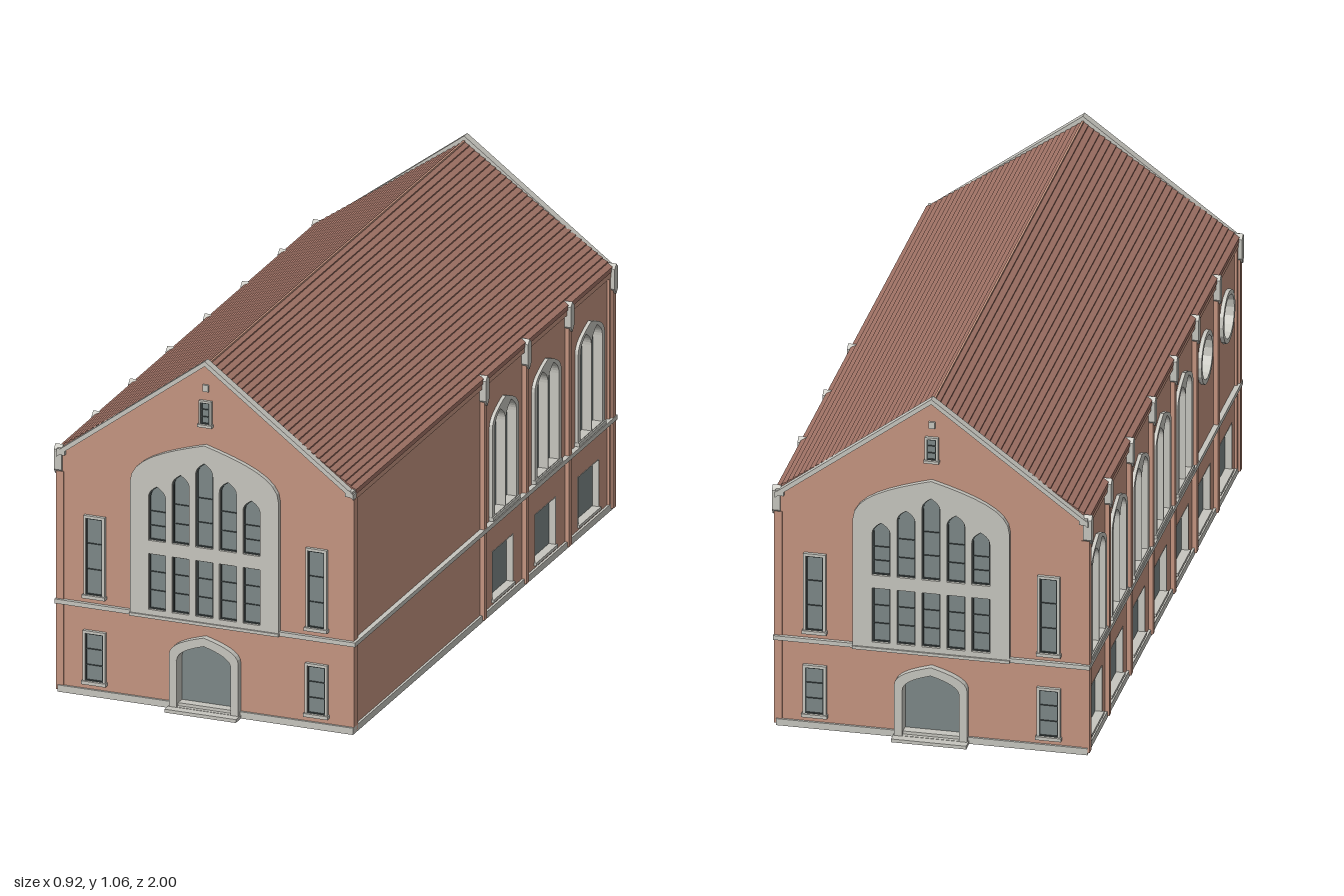
import * as THREE from 'three';

const mat = (name, color) => Object.assign(new THREE.MeshStandardMaterial({ color }), { name });

export function createModel() {
  const brick = mat('brick', 0xc49480);
  const stone = mat('stone', 0xc6c5be);
  const glass = mat('glass', 0x7c8787);
  const iron = mat('darkFrame', 0x3f4747);
  const tile = mat('roofTile', 0xa07265);

  const model = new THREE.Group();
  model.name = 'hall';

  const add = (g, name, geo, m) => {
    const mesh = new THREE.Mesh(geo, m);
    mesh.name = name;
    g.add(mesh);
    return mesh;
  };
  // box given by its limits
  const box = (g, name, m, x0, x1, y0, y1, z0, z1) =>
    add(g, name, new THREE.BoxGeometry(x1 - x0, y1 - y0, z1 - z0), m)
      .position.set((x0 + x1) / 2, (y0 + y1) / 2, (z0 + z1) / 2);
  // shape extruded between two depths
  const slab = (g, name, m, shape, z0, z1) => {
    const geo = new THREE.ExtrudeGeometry(shape, { depth: z1 - z0, bevelEnabled: false, curveSegments: 8 });
    add(g, name, geo.translate(0, 0, z0), m);
  };
  const poly = pts => new THREE.Shape(pts.map(p => new THREE.Vector2(p[0], p[1])));
  // opening with half width w; pointed arch above the spring line when top > spring
  const arch = (x, w, y0, spring, top = spring) => {
    const s = new THREE.Shape(), h = top - spring;
    s.moveTo(x - w, y0).lineTo(x + w, y0).lineTo(x + w, spring);
    if (h > 0) {
      s.bezierCurveTo(x + w, spring + 0.5 * h, x + 0.53 * w, spring + 0.76 * h, x, top);
      s.bezierCurveTo(x - 0.53 * w, spring + 0.76 * h, x - w, spring + 0.5 * h, x - w, spring);
    } else s.lineTo(x - w, spring);
    return s;
  };
  const ring = (outer, ...holes) => { outer.holes.push(...holes); return outer; };
  const pane = (g, shape, z) => slab(g, 'windowGlass', glass, shape, z, z + 0.003);

  // glass pane with dark frame and two transoms
  const glazing = (g, x, w, y0, spring, top, z) => {
    const f = 0.0035;
    pane(g, arch(x, w, y0, spring, top), z);
    slab(g, 'windowFrame', iron,
      ring(arch(x, w, y0, spring, top), arch(x, w - f, y0 + f, spring - (top > spring ? 0 : f), top - f)), z + 0.003, z + 0.007);
    for (const t of [1 / 3, 2 / 3]) {
      const y = y0 + (spring - y0) * t;
      box(g, 'transom', iron, x - w, x + w, y - 0.0015, y + 0.0015, z + 0.003, z + 0.006);
    }
  };
  // rectangular window with stone surround and sill
  const framedWindow = (g, x, w, y0, y1, z, b = 0.007) => {
    slab(g, 'windowSurround', stone, ring(arch(x, w + b, y0 - b, y1 + b), arch(x, w, y0, y1)), z, z + 0.01);
    box(g, 'windowSill', stone, x - w - b - 0.003, x + w + b + 0.003, y0 - b - 0.003, y0, z, z + 0.015);
    glazing(g, x, w, y0, y1, y1, z);
  };

  // main body, plinth and string course
  slab(model, 'body', brick, poly([[-0.415, 0.006], [0.415, 0.006], [0.415, 0.715], [0, 1.02], [-0.415, 0.715]]), -0.93, 0.93);
  box(model, 'plinth', stone, -0.447, 0.447, 0, 0.02, -0.962, 0.962);
  for (const s of [-1, 1]) {
    box(model, 'sideStringCourse', stone, s * 0.447 - 0.008, s * 0.447 + 0.008, 0.265, 0.278, -0.966, 0.966);
    box(model, 'eavesCourse', brick, s * 0.442 - 0.006, s * 0.442 + 0.006, 0.7, 0.722, -0.945, 0.945);
  }

  // roof of overlapping tile courses
  const N = 28, half = [];
  for (let i = 0; i < N; i++) {
    const at = k => [0.45 * (1 - k / N), 0.724 + 0.312 * k / N];
    const [x, y] = at(i), [x2, y2] = at(i + 1);
    half.push([x, y + 0.002], [x, y + 0.006], [x2, y2 + 0.002]);
  }
  const mirrored = half.slice(0, -1).reverse().map(([x, y]) => [-x, y]);
  slab(model, 'roof', tile, poly([...half, ...mirrored, [-0.45, 0.716], [0, 1.02], [0.45, 0.716]]), -0.946, 0.946);
  box(model, 'ridge', brick, -0.003, 0.003, 1.03, 1.042, -0.946, 0.946);

  // gable front, used at both ends
  const facade = () => {
    const g = new THREE.Group();
    g.name = 'gableFront';
    const Z = 0.955;
    // the inner layer stays below the roof, the outer one rises to the coping
    for (const [z0, z1, top] of [[0.925, 0.945, 1.02], [0.945, Z, 1.046]])
      slab(g, 'gableWall', brick, ring(
        poly([[-0.447, 0.006], [0.447, 0.006], [0.447, 0.712], [0, top], [-0.447, 0.712]]),
        arch(0, 0.083, 0.01, 0.15, 0.205)), z0, z1);
    slab(g, 'gableCoping', stone, poly([[0.45, 0.705], [0.45, 0.721], [0, 1.056],
      [-0.45, 0.721], [-0.45, 0.705], [0, 1.041]]), 0.942, 0.967);
    for (const s of [-1, 1]) {
      box(g, 'kneeler', stone, s * 0.436 - 0.012, s * 0.436 + 0.012, 0.712, 0.73, 0.942, 0.966);
      box(g, 'stringCourse', stone, s * 0.333 - 0.113, s * 0.333 + 0.113, 0.265, 0.278, Z, 0.966);
      framedWindow(g, s * 0.336, 0.025, 0.304, 0.534, Z);
      framedWindow(g, s * 0.336, 0.027, 0.046, 0.189, Z);
    }
    // great window
    const panel = arch(0, 0.225, 0.268, 0.665, 0.804);
    for (let i = -2; i <= 2; i++) {
      const x = i * 0.0715, top = 0.75 - 0.045 * Math.abs(i);
      panel.holes.push(arch(x, 0.026, 0.497, top - 0.035, top), arch(x, 0.026, 0.29, 0.457));
      glazing(g, x, 0.026, 0.497, top - 0.035, top, Z);
      glazing(g, x, 0.026, 0.29, 0.457, 0.457, Z);
    }
    slab(g, 'greatWindowStone', stone, panel, Z, 0.97);
    box(g, 'greatWindowSill', stone, -0.226, 0.226, 0.265, 0.274, Z, 0.975);
    // attic window and stone block above
    framedWindow(g, 0, 0.014, 0.866, 0.931, Z, 0.005);
    box(g, 'gableStone', stone, -0.009, 0.009, 0.963, 0.983, Z, 0.962);
    // doorway with stone reveal
    slab(g, 'doorSurround', stone, ring(arch(0, 0.105, 0, 0.165, 0.23), arch(0, 0.083, 0.01, 0.15, 0.205)), Z - 0.005, 0.975);
    slab(g, 'doorReveal', stone, ring(arch(0, 0.085, 0.008, 0.15, 0.207), arch(0, 0.082, 0.011, 0.15, 0.204)), 0.932, 0.974);
    slab(g, 'door', glass, arch(0, 0.083, 0.01, 0.15, 0.205), 0.93, 0.934);
    box(g, 'doorStep', stone, -0.108, 0.108, 0, 0.01, 0.93, 1);
    return g;
  };
  const back = facade();
  back.rotation.y = Math.PI;
  model.add(facade(), back);

  // parts of a long side, built facing +z; glass sits at depth D behind wall face S
  const S = 0.44, D = 0.418;
  const buttress = (g, x) => {
    box(g, 'buttress', brick, x - 0.01, x + 0.01, 0.006, 0.66, S - 0.01, 0.453);
    slab(g, 'buttressCap', stone, poly([[x - 0.013, 0.665], [x, 0.648], [x + 0.013, 0.665],
      [x + 0.013, 0.725], [x, 0.738], [x - 0.013, 0.725]]), 0.435, 0.459);
  };
  const twinOutline = x => arch(x, 0.098, 0.288, 0.555, 0.622);
  const twinWindow = (g, x) => {
    const o = twinOutline(x);
    for (const s of [-1, 1]) {
      const light = arch(x + s * 0.0405, 0.039, 0.293, 0.55, 0.597);
      o.holes.push(light);
      pane(g, light, D);
    }
    slab(g, 'twinWindowStone', stone, o, D, 0.45);
    box(g, 'twinWindowSill', stone, x - 0.1, x + 0.1, 0.28, 0.291, D, 0.454);
  };
  const disc = (x, r) => new THREE.Shape().absarc(x, 0.545, r, 0, Math.PI * 2);
  const roundOutline = x => disc(x, 0.078);
  const roundWindow = (g, x) => {
    slab(g, 'roundWindowStone', stone, ring(roundOutline(x), disc(x, 0.064)), D, 0.451);
    pane(g, disc(x, 0.064), D);
  };
  const lowOutline = x => arch(x, 0.078, 0.033, 0.18);
  const lowWindow = (g, x) => {
    pane(g, arch(x, 0.076, 0.037, 0.178), D);
    slab(g, 'lowWindowReveal', stone, ring(lowOutline(x), arch(x, 0.076, 0.037, 0.178)), D, S + 0.001);
    box(g, 'lowWindowSill', stone, x - 0.08, x + 0.08, 0.028, 0.037, D, 0.447);
  };
  const side = (name, turn, posts, rounds) => {
    const g = new THREE.Group();
    g.name = name;
    g.rotation.y = turn;
    const wall = poly([[-0.945, 0.006], [0.945, 0.006], [0.945, 0.715], [-0.945, 0.715]]);
    posts.forEach((p, i) => {
      buttress(g, p);
      if (i === posts.length - 1) return;
      const c = (p + posts[i + 1]) / 2;
      const isRound = i >= posts.length - 1 - rounds;
      wall.holes.push(lowOutline(c), isRound ? roundOutline(c) : twinOutline(c));
      lowWindow(g, c);
      (isRound ? roundWindow : twinWindow)(g, c);
    });
    slab(g, 'sideWall', brick, wall, 0.41, S);
    model.add(g);
  };
  side('leftSide', Math.PI / 2, [0, 0.31, 0.625, 0.948], 0);
  side('rightSide', -Math.PI / 2, [-0.948, -0.7, -0.425, -0.15, 0.125, 0.4, 0.67, 0.948], 2);

  return model;
}
